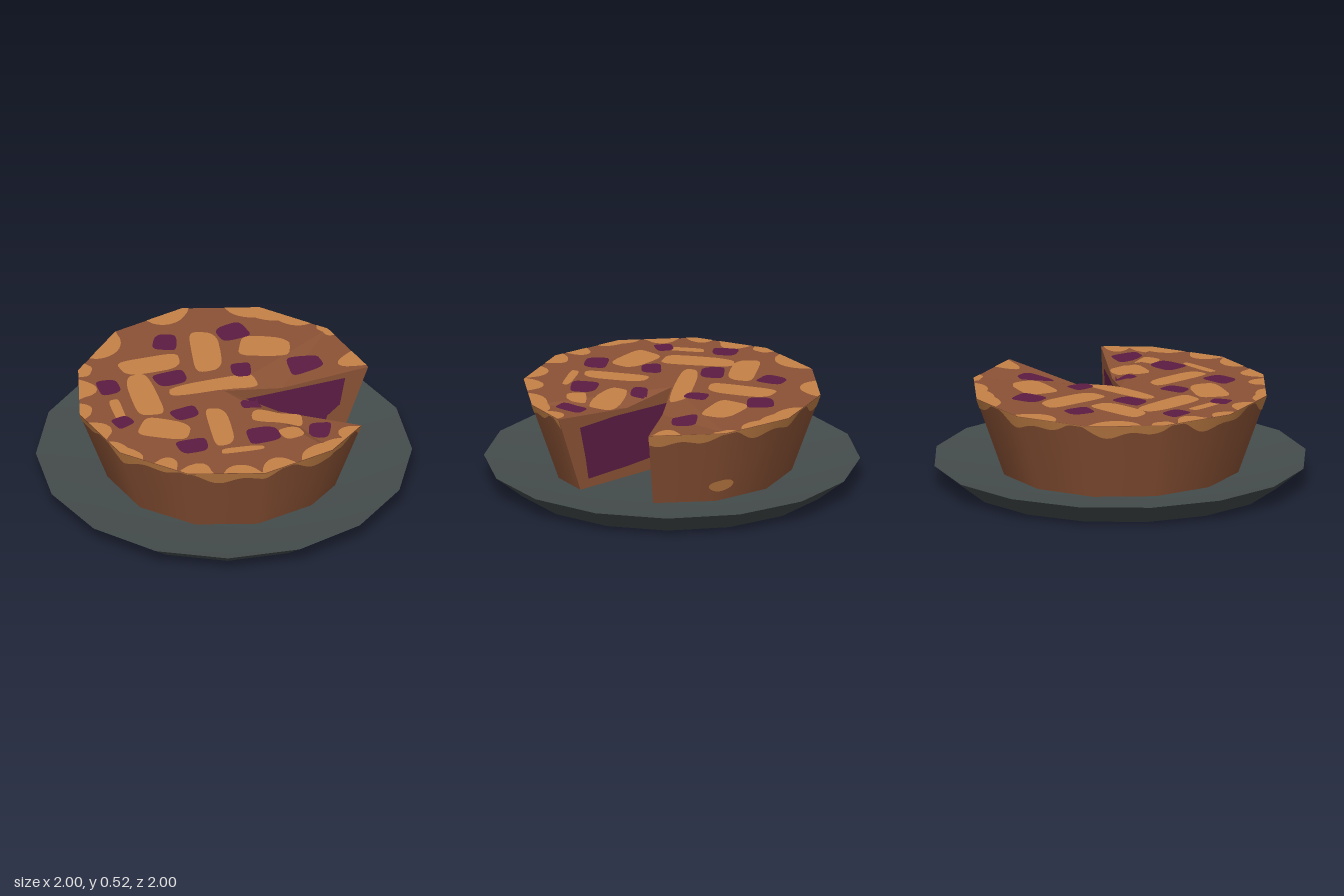
import * as THREE from 'three';
import { toCreasedNormals } from 'three/addons/utils/BufferGeometryUtils.js';

const mat = (name, color) => new THREE.MeshStandardMaterial({ name, color });
const crust = mat('brown crust', 0x8b5235);
const golden = mat('golden crust', 0xc58146);
const berry = mat('purple filling', 0x5b1c43);
const slate = mat('slate grey', 0x454c4c);

const BOTTOM = 0.075, TOP = 0.51;
const radiusAt = (y) => 0.643 + ((y - BOTTOM) / (TOP - BOTTOM)) * 0.155;
const R_TOP = radiusAt(TOP);

// Corner angles of the pie rim, from one cut round to the other (0 = front, 90 = left)
const corners = [];
for (let a = 60; a <= 360; a += 30) corners.push(THREE.MathUtils.degToRad(a));
corners.push(THREE.MathUtils.degToRad(380));
const EDGES = corners.length - 1;
const dir = (a) => new THREE.Vector3(Math.sin(a), 0, Math.cos(a));

// Point on the straight-edged rim: t counts edges, r is the corner radius
function rim(t, r, y) {
  const i = Math.min(Math.floor(t), EDGES - 1);
  return dir(corners[i]).lerp(dir(corners[i + 1]), t - i).multiplyScalar(r).setY(y);
}
const sideNormal = (t) => rim(t, 1, 0).normalize().setY(-0.35).normalize();
const upNormal = () => new THREE.Vector3(0, 1, 0);

// The top sags a little part way along each cut
const SAG_AT = 0.4, SAG = 0.045;
const sags = [[0, 1], [EDGES, EDGES - 1]].map(([cut, next]) => [dir(corners[cut]), dir(corners[next])]);
function topY(x, z) {
  let y = TOP;
  for (const [d, c] of sags) {
    const det = (d.x * c.z - c.x * d.z) * R_TOP;
    const u = (x * c.z - c.x * z) / det, v = (d.x * z - x * d.z) / det;
    if (v >= 0) y -= SAG * Math.max(0, Math.min(u / SAG_AT, (1 - u - v) / (1 - SAG_AT)));
  }
  return y;
}
const onTop = (p, lift) => p.setY(topY(p.x, p.z) + lift);

// Ribbon between two curves that run round the rim
function ribbon(lower, upper, steps, normal) {
  const pos = [], nor = [], idx = [];
  for (let i = 0; i <= steps; i++) {
    const t = (i / steps) * EDGES;
    pos.push(...lower(t).toArray(), ...upper(t).toArray());
    const n = normal(t).toArray();
    nor.push(...n, ...n);
    if (i < steps) {
      const a = i * 2;
      idx.push(a, a + 2, a + 3, a, a + 3, a + 1);
    }
  }
  const g = new THREE.BufferGeometry();
  g.setAttribute('position', new THREE.Float32BufferAttribute(pos, 3));
  g.setAttribute('normal', new THREE.Float32BufferAttribute(nor, 3));
  g.setIndex(idx);
  return g;
}

// Unit disc whose points are laid on a surface by a rule
function patch(place, normal) {
  const g = new THREE.RingGeometry(0, 1, 28, 5);
  const p = g.attributes.position, n = g.attributes.normal;
  for (let i = 0; i < p.count; i++) {
    const q = place(p.getX(i), p.getY(i));
    p.setXYZ(i, q.x, q.y, q.z);
    n.setXYZ(i, normal.x, normal.y, normal.z);
  }
  return g;
}

// Rounded, slightly uneven patch on the top: centre, length, width, degrees
function topPatch([x, z, len, wid, deg], lift, seed) {
  const a = THREE.MathUtils.degToRad(deg);
  const pow = (v) => Math.sign(v) * Math.abs(v) ** 0.55;
  return patch((px, py) => {
    const r = Math.hypot(px, py), q = Math.atan2(py, px);
    const k = r * (0.96 + 0.05 * Math.sin(3 * q + seed * 2.1));
    const u = pow(Math.cos(q)) * len * 0.5 * k, v = -pow(Math.sin(q)) * wid * 0.5 * k;
    return onTop(new THREE.Vector3(
      x + u * Math.cos(a) - v * Math.sin(a), 0, z + u * Math.sin(a) + v * Math.cos(a)), lift);
  }, upNormal());
}

// Flat outline (distance from centre, height) placed on a cut face
function cutPlate(angle, flip, pts, offset) {
  const s = flip ? -1 : 1;
  const X = dir(angle).multiplyScalar(s), Y = upNormal();
  const Z = new THREE.Vector3().crossVectors(X, Y);
  const m = new THREE.Matrix4().makeBasis(X, Y, Z).setPosition(Z.clone().multiplyScalar(offset));
  const shape = new THREE.Shape(pts.map(([u, v]) => new THREE.Vector2(u * s, v)));
  return new THREE.ShapeGeometry(shape).applyMatrix4(m);
}

// Lattice strips on the top
const lattice = [
  [-0.1, -0.45, 0.34, 0.15, 30], [-0.33, -0.27, 0.4, 0.15, -58],
  [-0.53, -0.27, 0.24, 0.06, -58], [0.19, -0.32, 0.38, 0.16, -50],
  [0.44, -0.13, 0.28, 0.19, 50], [0, -0.07, 0.5, 0.11, 30],
  [-0.26, 0.22, 0.36, 0.12, -54], [-0.48, 0.02, 0.28, 0.18, 60],
  [0.03, 0.37, 0.28, 0.14, 48], [-0.03, 0.53, 0.13, 0.11, 20],
  [-0.33, 0.45, 0.24, 0.05, 35],
];
// Filling showing between the strips
const berries = [
  [-0.41, -0.46, 0.14, 0.12, -60], [0.1, -0.53, 0.15, 0.13, -40],
  [0.42, -0.34, 0.17, 0.15, 20], [-0.12, -0.28, 0.18, 0.13, 25],
  [-0.59, -0.18, 0.11, 0.1, 10], [0.2, -0.065, 0.13, 0.11, -50],
  [-0.3, 0, 0.15, 0.11, 20], [0.49, 0.12, 0.19, 0.14, 25],
  [0.01, 0.19, 0.11, 0.09, 30], [-0.49, 0.24, 0.17, 0.13, 30],
  [-0.16, 0.44, 0.18, 0.15, 30], [0.1, 0.61, 0.16, 0.12, -40],
];
// Golden scallops round the rim: middle angle, half width in degrees, depth
const scallops = [
  [67, 5, 0.12], [90, 5, 0.04], [106, 8, 0.07], [120, 13, 0.1], [157, 9, 0.1], [191, 10, 0.1],
  [210, 5, 0.07], [223, 6, 0.1], [238, 5, 0.07], [253, 6, 0.08], [271, 9, 0.06], [290, 5, 0.09],
  [303, 6, 0.1], [321, 7, 0.08], [336, 7, 0.1], [358, 11, 0.09], [374, 5, 0.08],
];
function scallopDepth(t) {
  const deg = t < 10 ? 60 + 30 * t : 360 + 20 * (t - 10);
  return Math.max(...scallops.map(([mid, half, depth]) =>
    depth * Math.sqrt(Math.max(0, 1 - ((deg - mid) / half) ** 2))));
}

export function createModel() {
  const root = new THREE.Group();
  root.name = 'pieOnPlate';
  const add = (name, geometry, material) => {
    const mesh = new THREE.Mesh(geometry, material);
    mesh.name = name;
    root.add(mesh);
  };

  // Sixteen-sided plate with a shallow hollow
  const profile = [[0, 0], [0.85, 0], [1, 0.12], [0.7, 0.08], [0, 0.08]];
  const plate = new THREE.LatheGeometry(profile.map(([x, y]) => new THREE.Vector2(x, y)), 16);
  add('plate', toCreasedNormals(plate, 0.5), slate);

  // Flared side
  add('pieSide', ribbon((t) => rim(t, radiusAt(BOTTOM), BOTTOM), (t) => rim(t, R_TOP, TOP), EDGES, sideNormal), crust);

  // Top: a fan from the centre, with an extra sagging point on each cut
  const edge = corners.map((a) => dir(a).multiplyScalar(R_TOP).setY(TOP));
  const centre = new THREE.Vector3(0, TOP, 0);
  const [dipA, dipB] = sags.map(([d]) => d.clone().multiplyScalar(R_TOP * SAG_AT).setY(TOP - SAG));
  const fan = [dipA, edge[0], edge[1], centre, dipA, edge[1]];
  for (let i = 1; i < EDGES - 1; i++) fan.push(centre, edge[i], edge[i + 1]);
  fan.push(dipB, edge[EDGES - 1], edge[EDGES], centre, edge[EDGES - 1], dipB);
  const top = new THREE.BufferGeometry().setFromPoints(fan);
  top.computeVertexNormals();
  add('pieTop', top, crust);

  // Cut faces with the filling between the crusts
  const cuts = [
    { name: 'leftCut', angle: corners[0], flip: false,
      fill: [[0.005, 0.18], [0.55, 0.17], [0.57, 0.24], [0.64, 0.3], [0.67, 0.465], [0.3, 0.445], [0.005, 0.43]] },
    { name: 'frontCut', angle: corners[EDGES], flip: true,
      fill: [[0.005, 0.16], [0.3, 0.14], [0.59, 0.13], [0.61, 0.25], [0.65, 0.43], [0.4, 0.44], [0.005, 0.43]] },
  ];
  for (const { name, angle, flip, fill } of cuts) {
    const face = [[0, BOTTOM], [radiusAt(BOTTOM), BOTTOM], [R_TOP, TOP], [R_TOP * SAG_AT, TOP - SAG], [0, TOP]];
    add(name + 'Face', cutPlate(angle, flip, face, 0), crust);
    add(name + 'Filling', cutPlate(angle, flip, fill, 0.003), berry);
  }

  // Golden rim: drips down the side and scallops on the top
  const drip = (t) => Math.max(0.006, 0.04 + 0.026 * Math.sin(4.6 * t) + 0.02 * Math.sin(9.1 * t + 1));
  const steps = EDGES * 24;
  add('rimDrips', ribbon((t) => rim(t, radiusAt(TOP - drip(t)) + 0.003, TOP - drip(t)),
    (t) => rim(t, R_TOP + 0.003, TOP), steps, sideNormal), golden);
  add('rimScallops', ribbon((t) => onTop(rim(t, R_TOP, 0), 0.002),
    (t) => onTop(rim(t, R_TOP - scallopDepth(t), 0), 0.002), steps, upNormal), golden);

  // Single golden spot low on the left side
  add('sideSpot', patch((px, py) => {
    const y = 0.175 + py * 0.035;
    return rim(1.07 + px * 0.21, radiusAt(y) + 0.007, y);
  }, sideNormal(1.07)), golden);

  lattice.forEach((d, i) => add('latticeStrip', topPatch(d, 0.004, i), golden));
  berries.forEach((d, i) => add('berryPatch', topPatch(d, 0.007, i), berry));
  return root;
}
